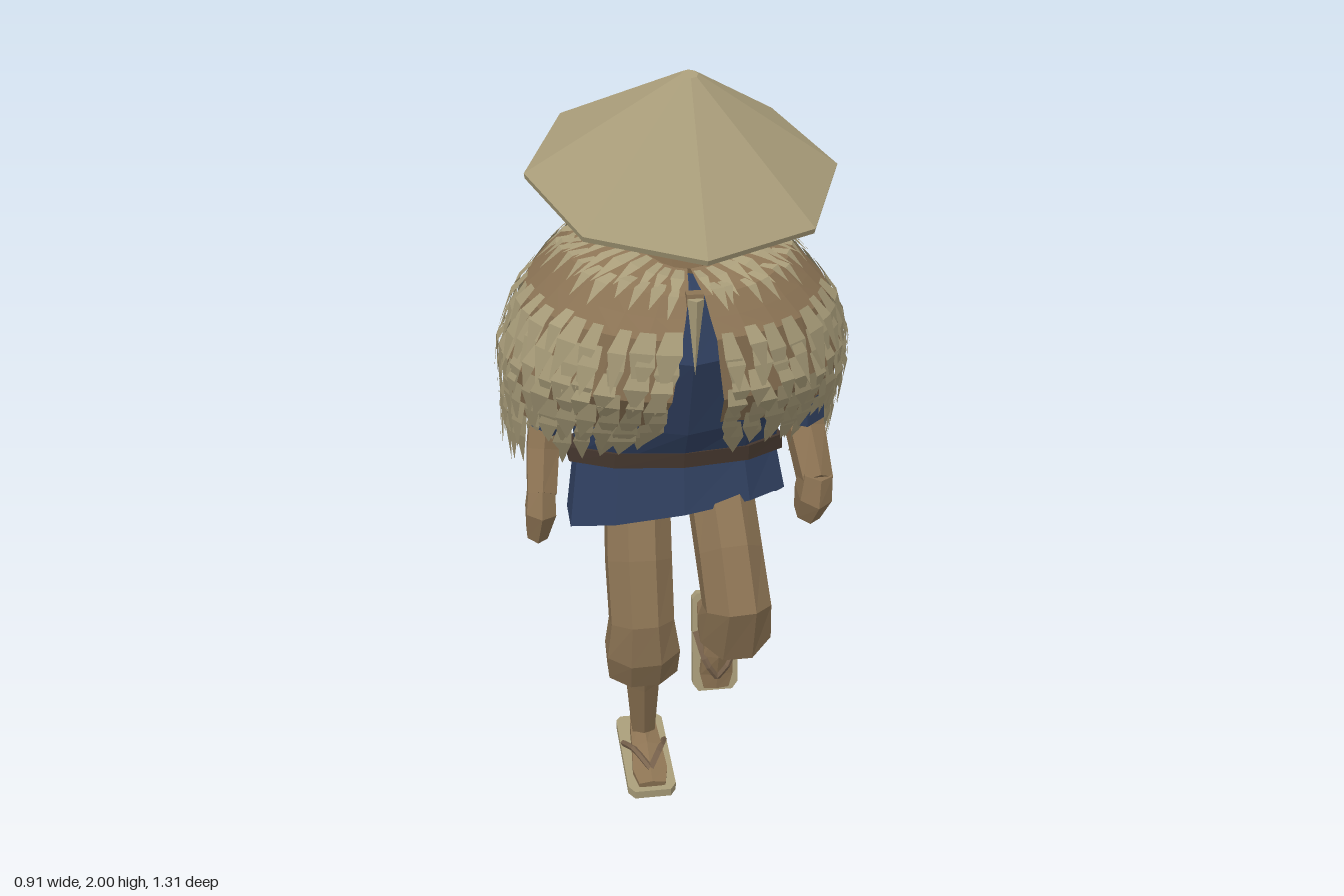
import * as THREE from 'three';

const V = (x, y, z) => new THREE.Vector3(x, y, z);
const mat = (name, color, side = THREE.FrontSide) => {
  const m = new THREE.MeshStandardMaterial({ color, side });
  m.name = name;
  return m;
};

export function createModel() {
  const straw = mat('straw', 0xa89c79, THREE.DoubleSide);
  const brown = mat('woven brown', 0x8c7455, THREE.DoubleSide);
  const skin = mat('skin', 0x8c7353);
  const trouser = mat('trouser cloth', 0x897152);
  const blue = mat('indigo cloth', 0x304060, THREE.DoubleSide);
  const dark = mat('dark brown', 0x46382f);
  const sole = mat('sole brown', 0x7a644e);
  const model = new THREE.Group();

  let seed = 7;
  const rand = () => (seed = (seed * 16807) % 2147483647) / 2147483647;

  function add(name, geo, material, parent = model) {
    const g = geo.index ? geo.toNonIndexed() : geo;
    g.computeVertexNormals(); // faceted look
    const mesh = new THREE.Mesh(g, material);
    mesh.name = name;
    parent.add(mesh);
    return mesh;
  }
  function fromPoints(pts) {
    const g = new THREE.BufferGeometry();
    g.setAttribute('position', new THREE.Float32BufferAttribute(pts.flatMap(p => p.toArray()), 3));
    return g;
  }
  // Skin a list of point rings with flat faces
  function loft(rings, closed, caps) {
    const t = [];
    const n = rings[0].length;
    for (let i = 0; i + 1 < rings.length; i++) {
      for (let j = 0; j < (closed ? n : n - 1); j++) {
        const k = (j + 1) % n;
        const a = rings[i][j], b = rings[i][k], c = rings[i + 1][k], d = rings[i + 1][j];
        t.push(a, b, c, a, c, d);
      }
    }
    if (caps) {
      const first = rings[0], last = rings[rings.length - 1];
      for (let j = 1; j + 1 < n; j++) {
        t.push(first[0], first[j + 1], first[j], last[0], last[j], last[j + 1]);
      }
    }
    return fromPoints(t);
  }
  // Rings set square to a path; each path entry is x, y, z, half width, half depth
  function rings(path, sides) {
    const c = path.map(p => V(p[0], p[1], p[2]));
    return path.map((p, i) => {
      const t = c[Math.min(i + 1, c.length - 1)].clone().sub(c[Math.max(i - 1, 0)]).normalize();
      const x = V(1, 0, 0).addScaledVector(t, -t.x).normalize();
      const n = t.clone().cross(x);
      return Array.from({ length: sides }, (_, j) => {
        const a = (j + 0.5) / sides * Math.PI * 2;
        return c[i].clone().addScaledVector(x, p[3] * Math.cos(a)).addScaledVector(n, p[4] * Math.sin(a));
      });
    });
  }
  const limb = (name, path, material, sides = 8, parent = model) =>
    add(name, loft(rings(path, sides), true, true), material, parent);

  // Conical hat, hollow below, tipped forward
  const hat = add('hat', new THREE.LatheGeometry([
    [0, 0.235], [0.355, 0.002], [0.374, -0.008], [0.376, 0.006], [0.02, 0.258], [0, 0.258],
  ].map(p => new THREE.Vector2(p[0], p[1])), 8), straw);
  hat.position.set(-0.015, 1.75, 0.288);
  hat.rotation.set(0.297, 0, -0.012);

  // Head, hair and chin straps
  limb('neck', [[-0.015, 1.42, 0.24, 0.09, 0.08], [-0.015, 1.54, 0.28, 0.095, 0.09], [-0.015, 1.68, 0.27, 0.08, 0.08]], skin);
  limb('head', [[-0.015, 1.585, 0.32, 0.08, 0.05], [-0.015, 1.64, 0.31, 0.105, 0.085], [-0.015, 1.82, 0.29, 0.105, 0.1]], skin, 6);
  limb('hair', [[-0.015, 1.645, 0.235, 0.12, 0.065], [-0.015, 1.69, 0.23, 0.135, 0.075], [-0.015, 1.83, 0.24, 0.12, 0.08]], dark, 6);
  for (const s of [-1, 1]) {
    const strap = add('chinStrap', new THREE.BoxGeometry(0.012, 0.15, 0.022), dark);
    strap.position.set(-0.015 + s * 0.104, 1.69, 0.31);
    strap.rotation.z = -s * 0.2;
    const ear = add('ear', new THREE.BoxGeometry(0.02, 0.05, 0.035), skin);
    ear.position.set(-0.015 + s * 0.125, 1.7, 0.28);
  }

  // Robe: leaning torso and short skirt with a slanted hem
  const robe = rings([
    [-0.01, 0.8, 0.155, 0.3, 0.165], [-0.01, 0.97, 0.135, 0.275, 0.165], [-0.01, 1.15, 0.18, 0.28, 0.19],
    [-0.01, 1.36, 0.26, 0.25, 0.19], [-0.01, 1.46, 0.26, 0.19, 0.15], [-0.01, 1.52, 0.25, 0.08, 0.09],
  ], 10);
  for (const p of robe[0]) p.y = 0.8 + 0.28 * (p.z - 0.15) + (p.z > 0.15 ? 0.13 * p.x : 0);
  for (const p of robe[1]) p.y = 0.97 + 0.14 * (p.z - 0.13);
  add('robe', loft(robe, true, false), blue);
  const sash = rings([[-0.012, 0.948, 0.135, 0.25, 0.15], [-0.012, 0.95, 0.135, 0.296, 0.18],
    [-0.012, 0.995, 0.14, 0.294, 0.182], [-0.012, 0.997, 0.14, 0.25, 0.15]], 10);
  sash.forEach((r, i) => r.forEach(p => { p.y = (i < 2 ? 0.95 : 0.992) + 0.16 * (p.z - 0.13); }));
  add('belt', loft(sash, true, false), dark);

  // Arms: short sleeves, bare forearms and loosely closed hands
  limb('leftSleeve', [[0.2, 1.42, 0.28, 0.08, 0.09], [0.29, 1.24, 0.25, 0.07, 0.085], [0.305, 1.08, 0.24, 0.06, 0.08]], blue, 6);
  limb('leftForearm', [[0.305, 1.13, 0.22, 0.05, 0.055], [0.315, 1.04, 0.25, 0.052, 0.07], [0.325, 0.93, 0.345, 0.045, 0.07]], skin, 6);
  limb('leftHand', [[0.325, 0.965, 0.35, 0.042, 0.055], [0.32, 0.9, 0.345, 0.048, 0.07], [0.31, 0.835, 0.325, 0.035, 0.045]], skin, 6);
  limb('rightSleeve', [[-0.22, 1.42, 0.28, 0.08, 0.09], [-0.32, 1.24, 0.25, 0.065, 0.085], [-0.345, 1.1, 0.23, 0.055, 0.08]], blue, 6);
  limb('rightForearm', [[-0.35, 1.15, 0.22, 0.045, 0.055], [-0.365, 1.03, 0.25, 0.046, 0.06], [-0.375, 0.93, 0.31, 0.042, 0.05]], skin, 6);
  limb('rightHand', [[-0.375, 0.95, 0.3, 0.038, 0.05], [-0.38, 0.89, 0.32, 0.043, 0.058], [-0.39, 0.815, 0.3, 0.03, 0.04]], skin, 6);

  // Legs: gathered trousers and bare shins
  limb('rightTrouser', [
    [-0.11, 0.9, 0.12, 0.09, 0.1], [-0.12, 0.68, 0.23, 0.092, 0.1], [-0.12, 0.53, 0.285, 0.09, 0.092],
    [-0.117, 0.44, 0.28, 0.105, 0.09], [-0.115, 0.36, 0.255, 0.1, 0.075],
  ], trouser);
  limb('rightShin', [[-0.115, 0.42, 0.26, 0.055, 0.055], [-0.11, 0.3, 0.215, 0.05, 0.055], [-0.1, 0.06, 0.15, 0.033, 0.038]], skin, 6);
  limb('leftTrouser', [
    [0.1, 0.9, 0.15, 0.09, 0.1], [0.11, 0.72, 0.3, 0.09, 0.105], [0.12, 0.6, 0.37, 0.092, 0.1],
    [0.12, 0.52, 0.345, 0.102, 0.095], [0.122, 0.505, 0.25, 0.092, 0.088],
  ], trouser);
  limb('leftShin', [[0.122, 0.515, 0.29, 0.055, 0.06], [0.125, 0.45, 0.18, 0.052, 0.06], [0.13, 0.35, 0.025, 0.035, 0.042]], skin, 6);

  // Foot with thonged straw sandal
  function makeFoot(name, position, tilt) {
    const foot = new THREE.Group();
    foot.name = name;
    const outline = inset => {
      const w = 0.066 - inset, l = 0.156 - inset;
      return new THREE.Shape([[-w * 0.8, -l], [w * 0.8, -l], [w, -l * 0.9], [w, l * 0.85], [w * 0.75, l],
        [-w * 0.75, l], [-w, l * 0.85], [-w, -l * 0.9]].map(p => new THREE.Vector2(p[0], p[1])));
    };
    const slab = (part, inset, depth, y, m) => {
      const g = new THREE.ExtrudeGeometry(outline(inset), { depth, bevelEnabled: false });
      g.rotateX(Math.PI / 2);
      add(part, g, m, foot).position.y = y;
    };
    slab('sandal', 0, 0.024, 0.024, straw);
    slab('sandalTread', 0.014, 0.004, 0.002, sole);
    limb('foot', [[0, 0.05, -0.13, 0.03, 0.028], [0, 0.06, -0.08, 0.04, 0.04], [0, 0.052, 0.02, 0.048, 0.03],
      [0, 0.036, 0.09, 0.055, 0.018], [0, 0.032, 0.14, 0.042, 0.012]], skin, 6, foot);
    for (const s of [-1, 1]) {
      const curve = new THREE.CatmullRomCurve3([V(0, 0.052, 0.1), V(s * 0.035, 0.07, 0.04), V(s * 0.058, 0.028, -0.04)]);
      add('sandalStrap', new THREE.TubeGeometry(curve, 6, 0.009, 5), sole, foot);
    }
    foot.position.copy(position);
    foot.rotation.x = tilt;
    model.add(foot);
  }
  makeFoot('rightFoot', V(-0.1, 0.02, 0.203), 0.12);
  makeFoot('leftFoot', V(0.132, 0.26, -0.018), 1.48);

  // Cloak rings from collar to hem: half width, side z, y, front z, y, back z, y
  const cloakRows = [
    [0.135, 0.24, 1.595, 0.39, 1.54, 0.11, 1.645],
    [0.28, 0.21, 1.545, 0.5, 1.51, -0.05, 1.62],
    [0.38, 0.18, 1.435, 0.555, 1.42, -0.18, 1.55],
    [0.43, 0.15, 1.26, 0.54, 1.26, -0.33, 1.305],
    [0.42, 0.08, 1.09, 0.42, 1.15, -0.495, 1.02],
  ];
  function cloakPoint(s, v) {
    const i = Math.min(Math.floor(v), 3);
    const [rx, zs, ys, zf, yf, zb, yb] = cloakRows[i].map((q, k) => q + (cloakRows[i + 1][k] - q) * (v - i));
    const gap = 0.03 + 0.038 * v; // the front stays open
    const a = gap + (Math.PI * 2 - 2 * gap) * s;
    const c = Math.cos(a);
    return V(-0.015 + rx * Math.sin(a), ys + ((c > 0 ? yf : yb) - ys) * c * c, zs + (c > 0 ? zf - zs : zs - zb) * c);
  }
  add('cloakBase', loft(Array.from({ length: 9 }, (_, i) =>
    Array.from({ length: 29 }, (_, j) => cloakPoint(j / 28, i / 2))), false, false), brown);

  // Flat pointed straw tufts that follow the cloak in overlapping rows
  const tufts = [];
  function tuft(s, v, length, width, lift) {
    const p = cloakPoint(s, v);
    const down = cloakPoint(s, v + 0.05).sub(p);
    const dv = length * 0.05 / down.length();
    const across = cloakPoint(s + 0.005, v).sub(cloakPoint(s - 0.005, v)).normalize();
    const out = down.cross(across).normalize();
    const at = (x, d, h) => cloakPoint(s, v + d * dv).addScaledVector(across, x * width).addScaledVector(out, h);
    const a = at(-0.32, 0, 0.008), b = at(0.32, 0, 0.008);
    const c = at(0.5, 0.4, 0.01 + lift * 0.5), d = at(-0.5, 0.4, 0.01 + lift * 0.5);
    const tip = at((rand() - 0.5) * 0.5, 1, lift);
    tufts.push(a, b, c, a, c, d, d, c, tip);
  }
  function tuftRow(v, count, length, width, lift) {
    for (let j = 0; j < count; j++) {
      const s = Math.min(0.995, Math.max(0.005, (j + 0.3 + rand() * 0.4) / count));
      const back = Math.pow(Math.sin(s * Math.PI), 2);
      tuft(s, v + (rand() - 0.5) * 0.16, length * (0.75 + 0.65 * back + rand() * 0.3), width * (0.8 + rand() * 0.4), lift * (0.6 + rand() * 0.8));
    }
  }
  tuftRow(0.12, 34, 0.13, 0.028, 0.014);
  tuftRow(0.75, 38, 0.1, 0.03, 0.014);
  for (let i = 0; i < 7; i++) tuftRow(1.82 + i * 0.345, 40 + i, 0.135 + i * 0.007, 0.053, 0.024);
  add('strawTufts', fromPoints(tufts), straw);

  // Hanging tie at the throat
  const tie = add('cloakTie', new THREE.ConeGeometry(0.02, 0.19, 4), straw);
  tie.rotation.x = Math.PI;
  tie.position.set(-0.02, 1.415, 0.52);
  add('cloakKnot', new THREE.BoxGeometry(0.04, 0.03, 0.03), brown).position.set(-0.02, 1.505, 0.5);

  return model;
}
